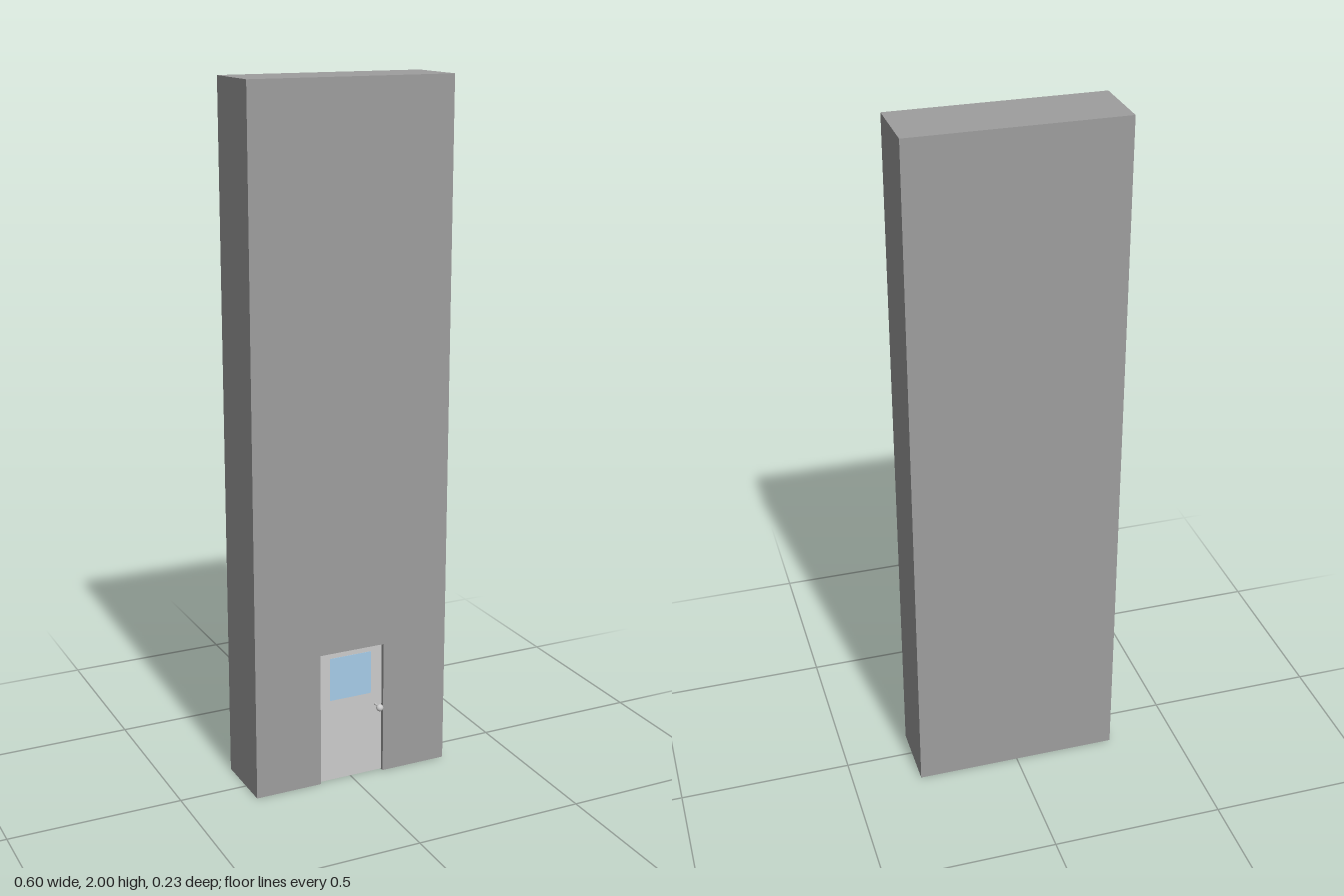
import * as THREE from 'three';
import { mergeGeometries } from 'three/addons/utils/BufferGeometryUtils.js';

const W = 0.3, H = 2, FRONT = 0.083, BACK = -0.117;    // wall slab
const DW = 0.1, DH = 0.4, DOOR_FRONT = 0.071, DOOR_BACK = 0.051; // doorway

function flat(points) {
  return new THREE.ShapeGeometry(new THREE.Shape(points.map(([x, y]) => new THREE.Vector2(x, y))));
}

function plane(w, h, x, y, z, rx = 0, ry = 0) {
  return new THREE.PlaneGeometry(w, h).rotateX(rx).rotateY(ry).translate(x, y, z);
}

// Solid wall with a shallow doorway pocket in its front
function wallGeometry() {
  const depth = FRONT - BACK, midZ = (FRONT + BACK) / 2;
  const pocket = FRONT - DOOR_BACK, pocketZ = (FRONT + DOOR_BACK) / 2;
  const q = Math.PI / 2;
  const front = flat([[-W, 0], [-DW, 0], [-DW, DH], [DW, DH], [DW, 0], [W, 0], [W, H], [-W, H]])
    .translate(0, 0, FRONT);
  // Drawn in x and z, then turned to face down
  const bottom = flat([[-W, BACK], [W, BACK], [W, FRONT], [DW, FRONT], [DW, DOOR_BACK],
    [-DW, DOOR_BACK], [-DW, FRONT], [-W, FRONT]]).rotateX(q);
  const parts = [
    front, bottom,
    plane(2 * W, H, 0, H / 2, BACK, 0, Math.PI),
    plane(2 * W, depth, 0, H, midZ, -q),
    plane(2 * DW, DH, 0, DH / 2, DOOR_BACK),        // pocket back
    plane(2 * DW, pocket, 0, DH, pocketZ, q),       // pocket head
  ];
  for (const s of [-1, 1]) {
    parts.push(plane(depth, H, s * W, H / 2, midZ, 0, s * q));
    parts.push(plane(pocket, DH, s * DW, DH / 2, pocketZ, 0, -s * q)); // jambs
  }
  return mergeGeometries(parts.map((g) => g.toNonIndexed()));
}

export function createModel() {
  const model = new THREE.Group();
  const add = (parent, name, geometry, color, x = 0, y = 0, z = 0) => {
    const mesh = new THREE.Mesh(geometry, new THREE.MeshStandardMaterial({ color }));
    mesh.name = name;
    mesh.position.set(x, y, z);
    parent.add(mesh);
    return mesh;
  };

  add(model, 'wall', wallGeometry(), 0x9e9e9e);

  // Door set back in the pocket
  const door = new THREE.Group();
  door.name = 'door';
  model.add(door);
  const thick = DOOR_FRONT - DOOR_BACK;
  add(door, 'doorPanel', new THREE.BoxGeometry(2 * DW, DH, thick), 0xcccccc,
    0, DH / 2, DOOR_BACK + thick / 2);
  add(door, 'doorWindow', new THREE.BoxGeometry(0.13, 0.13, 0.004), 0xa6cce8,
    0, 0.315, DOOR_FRONT - 0.001);

  // Round knob on a short stem
  const stem = new THREE.CylinderGeometry(0.003, 0.003, 0.031, 16).rotateX(Math.PI / 2);
  add(door, 'knobStem', stem, 0xcccccc, 0.079, 0.213, DOOR_FRONT + 0.0155);
  const knob = new THREE.SphereGeometry(0.0105, 24, 16).rotateX(Math.PI / 2);
  add(door, 'doorKnob', knob, 0xcccccc, 0.079, 0.213, 0.1025);

  return model;
}
